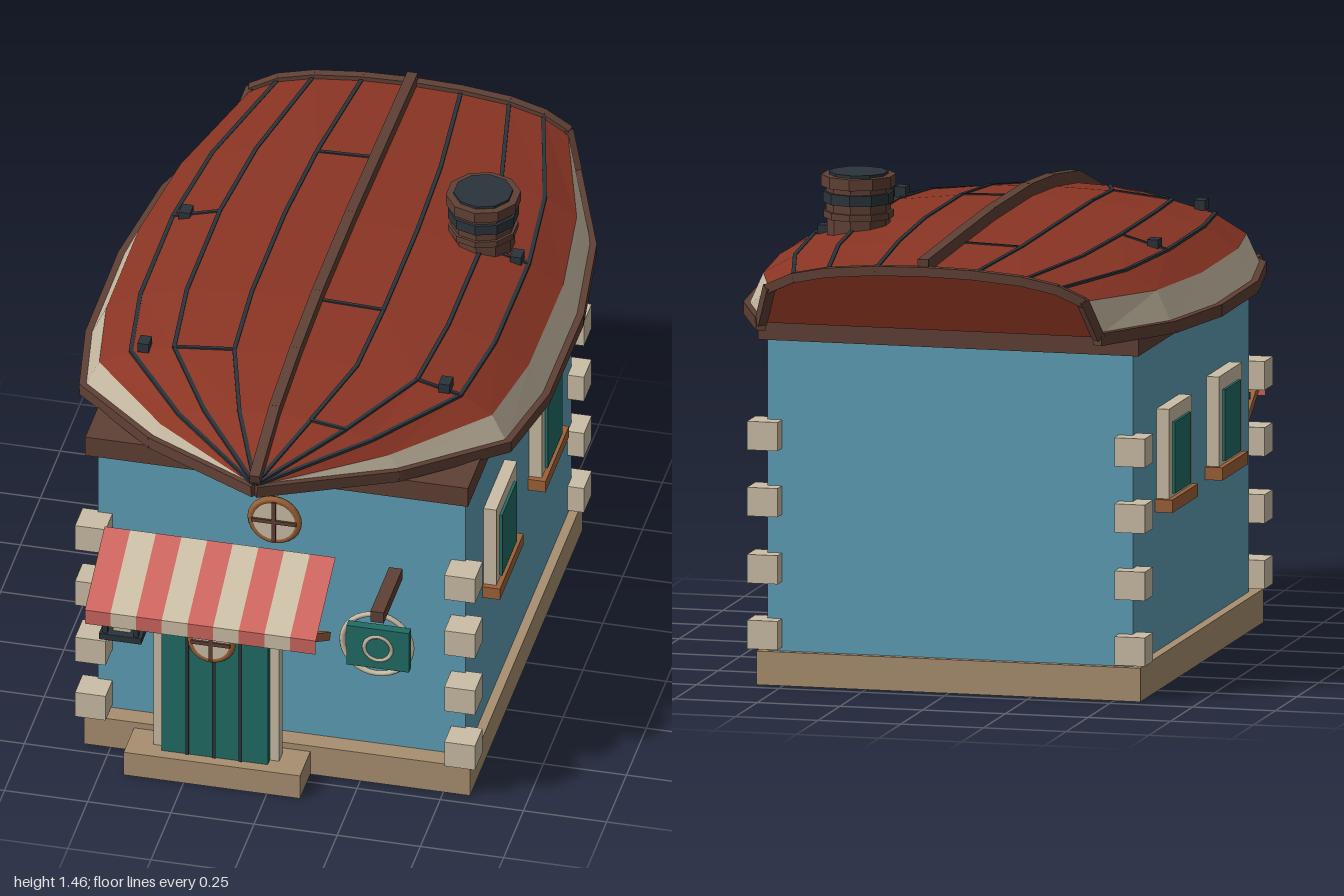
import * as THREE from 'three';

const mat = (name, color, side = THREE.FrontSide) => {
  const m = new THREE.MeshStandardMaterial({ color, side });
  m.name = name;
  return m;
};
const M = {
  wall: mat('blue plaster', 0x5f9fb7),
  roof: mat('red planks', 0x8b3524, THREE.DoubleSide),
  cream: mat('cream stone', 0xcbbea6, THREE.DoubleSide),
  tan: mat('tan stone', 0xa98f70),
  brown: mat('dark timber', 0x5f4035),
  wood: mat('orange wood', 0x9c6238),
  green: mat('green paint', 0x216b64),
  dark: mat('dark iron', 0x2b343b),
  red: mat('awning red', 0xcb655e, THREE.DoubleSide),
};

export function createModel() {
  const root = new THREE.Group();
  const group = (name) => {
    const g = new THREE.Group();
    g.name = name;
    root.add(g);
    return g;
  };
  const add = (parent, name, geo, m, x = 0, y = 0, z = 0) => {
    const o = new THREE.Mesh(geo, m);
    o.name = name;
    o.position.set(x, y, z);
    parent.add(o);
    return o;
  };
  // box given by its min and max on each axis
  const box = (p, name, m, x0, x1, y0, y1, z0, z1) =>
    add(p, name, new THREE.BoxGeometry(x1 - x0, y1 - y0, z1 - z0), m,
      (x0 + x1) / 2, (y0 + y1) / 2, (z0 + z1) / 2);
  // bar of w by h running from point a to point b
  const beam = (p, name, m, a, b, w, h) => {
    const o = new THREE.Mesh(new THREE.BoxGeometry(w, h, a.distanceTo(b) + w * 0.3), m);
    o.name = name;
    o.position.copy(a).lerp(b, 0.5);
    o.lookAt(b);
    p.add(o);
  };
  const V = (x, y, z) => new THREE.Vector3(x, y, z);

  // House body
  const house = group('house');
  box(house, 'base', M.tan, -0.58, 0.58, 0, 0.1, -0.704, 0.71);
  box(house, 'step', M.tan, -0.43, 0.1, 0, 0.08, 0.7, 0.84);
  box(house, 'walls', M.wall, -0.552, 0.552, 0.09, 1.03, -0.683, 0.65);
  box(house, 'eaves', M.brown, -0.575, 0.575, 1.025, 1.09, -0.707, 0.716);

  // Corner stones
  const stones = group('cornerStones');
  for (const sx of [-1, 1]) for (const z of [-0.685, 0.688]) for (const y of [0.153, 0.348, 0.547, 0.743])
    add(stones, 'cornerStone', new THREE.BoxGeometry(0.092, 0.085, 0.095), M.cream, sx * 0.555, y, z);

  // Side windows
  for (const sx of [-1, 1]) for (const z of [0.29, -0.283]) {
    const w = group('sideWindow');
    add(w, 'frame', new THREE.BoxGeometry(0.04, 0.27, 0.262), M.cream, sx * 0.57, 0.685, z);
    add(w, 'pane', new THREE.BoxGeometry(0.009, 0.212, 0.182), M.green, sx * 0.594, 0.67, z);
    add(w, 'sill', new THREE.BoxGeometry(0.06, 0.038, 0.295), M.wood, sx * 0.575, 0.535, z);
  }

  // Door
  const door = group('door');
  box(door, 'leaf', M.green, -0.325, -0.005, 0.08, 0.74, 0.77, 0.805);
  for (const x of [-0.338, 0.007]) box(door, 'jamb', M.cream, x - 0.016, x + 0.016, 0.08, 0.745, 0.735, 0.78);
  box(door, 'lintel', M.cream, -0.354, 0.023, 0.72, 0.75, 0.735, 0.775);
  for (const x of [-0.247, -0.167, -0.087]) box(door, 'plankGap', M.dark, x - 0.005, x + 0.005, 0.08, 0.73, 0.803, 0.809);

  // Round windows
  const porthole = (x, y, z, r) => {
    const g = group('roundWindow');
    g.position.set(x, y, z);
    add(g, 'ring', new THREE.TorusGeometry(r - 0.01, 0.012, 6, 24), M.wood);
    add(g, 'pane', new THREE.CylinderGeometry(r - 0.01, r - 0.01, 0.02, 24), M.cream).rotation.x = Math.PI / 2;
    box(g, 'upright', M.brown, -0.006, 0.006, -r + 0.012, r - 0.012, 0, 0.016);
    box(g, 'crossbar', M.brown, -r + 0.012, r - 0.012, -0.006, 0.006, 0, 0.016);
  };
  porthole(0, 0.905, 0.74, 0.08);
  porthole(-0.167, 0.51, 0.835, 0.071);

  // Wall ring
  const ring = group('lifeRing');
  add(ring, 'rope', new THREE.TorusGeometry(0.104, 0.009, 6, 32), M.cream, 0.31, 0.523, 0.752);

  // Awning: striped slope and valance
  const awning = group('awning');
  const slope = Math.atan2(0.13, 0.25), sw = 0.694 / 9;
  for (let i = 0; i < 9; i++) {
    const m = i % 2 ? M.cream : M.red, x = -0.511 + sw * (i + 0.5);
    add(awning, 'stripe', new THREE.PlaneGeometry(sw, Math.hypot(0.13, 0.25)), m, x, 0.735, 0.865)
      .rotation.x = slope - Math.PI / 2;
    add(awning, 'valance', new THREE.PlaneGeometry(sw, 0.048), m, x, 0.646, 0.99);
  }
  for (const x of [-0.488, 0.153])
    beam(awning, 'strut', M.wood, V(x, 0.66, 0.965), V(x, 0.515, 0.735), 0.025, 0.025);

  // Lantern
  const lantern = group('lantern');
  box(lantern, 'foot', M.dark, -0.495, -0.368, 0.497, 0.517, 0.785, 0.88);
  box(lantern, 'lid', M.dark, -0.495, -0.368, 0.63, 0.65, 0.785, 0.88);
  box(lantern, 'lamp', M.cream, -0.458, -0.405, 0.515, 0.632, 0.81, 0.855);
  for (const x of [-0.478, -0.385]) for (const z of [0.798, 0.867])
    box(lantern, 'post', M.dark, x - 0.007, x + 0.007, 0.51, 0.635, z - 0.007, z + 0.007);

  // Hanging sign
  const sign = group('sign');
  box(sign, 'bracket', M.brown, 0.345, 0.385, 0.758, 0.795, 0.745, 0.98);
  box(sign, 'board', M.green, 0.27, 0.458, 0.587, 0.725, 0.94, 0.968);
  add(sign, 'boardRing', new THREE.TorusGeometry(0.041, 0.006, 4, 24), M.cream, 0.364, 0.657, 0.968);

  // Upturned hull: stations of [z, half width, rim y, strake y, crown y, rake]
  const stations = [
    [0.985, 0.004, 1.18, 1.188, 1.195, 0],
    [0.735, 0.37, 1.128, 1.185, 1.275, 0],
    [0.475, 0.635, 1.1, 1.193, 1.308, 0],
    [0.2, 0.683, 1.092, 1.195, 1.326, 0],
    [-0.22, 0.685, 1.092, 1.195, 1.326, 0],
    [-0.57, 0.64, 1.1, 1.2, 1.315, 0],
    [-0.92, 0.51, 1.115, 1.225, 1.3, 0.07],
  ];
  const fx = [0, 0.29, 0.575, 0.78, 0.93, 1], fy = [1, 0.95, 0.78, 0.48, 0];
  const hullPoint = (i, j) => {
    const [z, w, low, mid, top, rake] = stations[i], k = Math.abs(j);
    const y = k === 5 ? low : mid + (top - mid) * fy[k];
    return V(Math.sign(j) * w * fx[k], y, z - rake * (y - low) / (top - low));
  };
  const shell = (cols, flip, dy = 0) => {
    const p = [];
    for (let i = 0; i < stations.length - 1; i++) for (const j of cols) {
      const a = hullPoint(i, j), b = hullPoint(i, j + 1), c = hullPoint(i + 1, j), d = hullPoint(i + 1, j + 1);
      for (const v of flip ? [a, c, b, b, c, d] : [a, b, c, b, d, c]) p.push(v.x, v.y + dy, v.z);
    }
    const g = new THREE.BufferGeometry();
    g.setAttribute('position', new THREE.Float32BufferAttribute(p, 3));
    g.computeVertexNormals();
    return g;
  };
  const hull = group('hullRoof');
  const upper = [-4, -3, -2, -1, 0, 1, 2, 3];
  add(hull, 'planking', shell(upper, false), M.roof);
  add(hull, 'topStrake', shell([-5, 4], false), M.cream);
  add(hull, 'lining', shell([-5, ...upper, 4], true, -0.008), M.dark);

  // Stern board, fanned from the middle of its lower edge
  const last = stations.length - 1, fan = [], base = V(0, stations[last][2], stations[last][0]);
  for (let j = -5; j < 5; j++)
    for (const v of [base, hullPoint(last, j), hullPoint(last, j + 1)]) fan.push(v.x, v.y, v.z - 0.003);
  const stern = new THREE.BufferGeometry();
  stern.setAttribute('position', new THREE.Float32BufferAttribute(fan.reverse().map((_, n, f) => f[n - n % 3 + 2 - n % 3]), 3));
  stern.computeVertexNormals();
  add(hull, 'sternBoard', stern, M.roof);

  // Keel, rims and plank seams along the hull
  const lift = (p, d) => V(p.x, p.y + d, p.z);
  for (let i = 0; i < last; i++) {
    beam(hull, 'keel', M.brown, lift(hullPoint(i, 0), 0.014), lift(hullPoint(i + 1, 0), 0.014), 0.032, 0.045);
    for (const s of [-1, 1]) {
      beam(hull, 'rim', M.brown, lift(hullPoint(i, 5 * s), -0.006), lift(hullPoint(i + 1, 5 * s), -0.006), 0.03, 0.036);
      for (const k of [1, 2, 3])
        beam(hull, 'seam', M.dark, hullPoint(i, k * s), hullPoint(i + 1, k * s), 0.012, 0.008);
    }
  }
  for (let j = -5; j < 5; j++)
    beam(hull, 'sternRim', M.brown, hullPoint(last, j), hullPoint(last, j + 1), 0.028, 0.028);
  for (const [i, j] of [[5, -1], [4, -3], [4, 2], [3, 0], [2, -2], [2, 2], [1, 1]])
    beam(hull, 'plankJoint', M.dark, hullPoint(i, j), hullPoint(i, j + 1), 0.011, 0.008);
  for (const [x, z] of [[-0.495, -0.22], [0.5, -0.22], [-0.455, 0.47], [0.45, 0.47]])
    add(hull, 'cleat', new THREE.BoxGeometry(0.034, 0.03, 0.045), M.dark, x, 1.275, z);

  // Chimney barrel: [bottom, top, radius, material]
  const chimney = group('chimney');
  for (const [y0, y1, r, m] of [
    [1.2, 1.33, 0.093, M.brown], [1.325, 1.345, 0.103, M.brown], [1.34, 1.43, 0.095, M.brown],
    [1.37, 1.402, 0.104, M.dark], [1.418, 1.452, 0.11, M.brown], [1.45, 1.46, 0.087, M.dark],
  ]) {
    const g = new THREE.CylinderGeometry(r, r, y1 - y0, 10).toNonIndexed();
    g.computeVertexNormals();
    add(chimney, 'chimneyRing', g, m, 0.386, (y0 + y1) / 2, -0.27);
  }
  return root;
}
